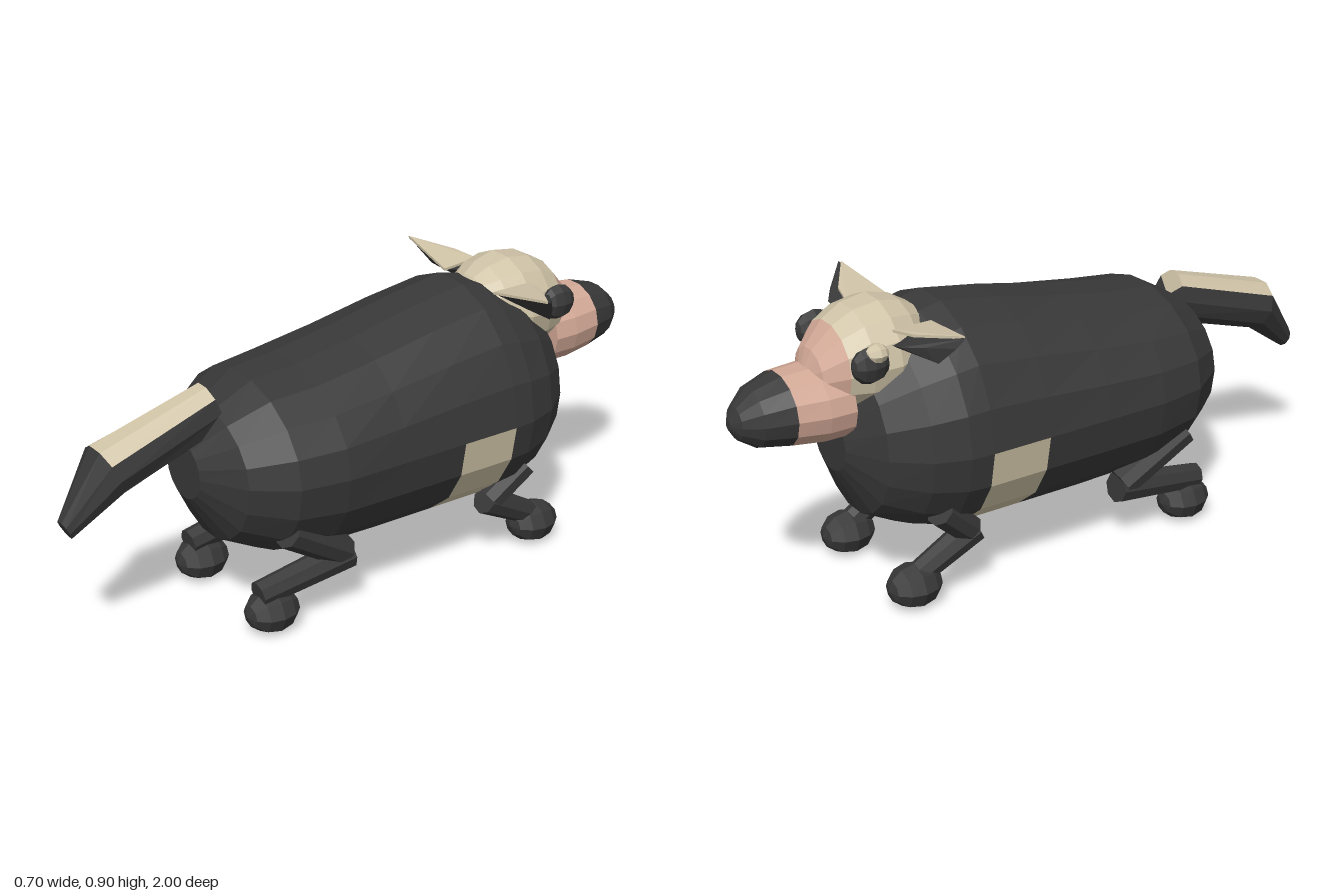
import * as THREE from 'three';
import { ConvexGeometry } from 'three/addons/geometries/ConvexGeometry.js';

const paint = (name, color) => Object.assign(new THREE.MeshStandardMaterial({ color }), { name });

export function createModel() {
  const model = new THREE.Group();
  model.name = 'animal';
  const dark = paint('charcoal', 0x383838);
  const cream = paint('cream', 0xcfc3a7);
  const pink = paint('skin pink', 0xd2a896);

  const add = (name, geometry, material, parent = model) => {
    const flat = geometry.index ? geometry.toNonIndexed() : geometry;
    flat.computeVertexNormals();
    const mesh = new THREE.Mesh(flat, material);
    mesh.name = name;
    parent.add(mesh);
    return mesh;
  };

  // Skins rings ordered from -z to +z; ring: y, z, half width, up, down, lean in z
  function loft(name, rings, sides, materialAt) {
    const group = new THREE.Group();
    group.name = name;
    model.add(group);
    const buckets = new Map();
    const point = (i, j) => {
      const [y, z, w, up, down = up, lean = 0] = rings[i];
      const a = (j / sides) * Math.PI * 2, s = Math.sin(a);
      return [w * Math.cos(a), y + s * (s > 0 ? up : down), z + s * lean];
    };
    const put = (material, ...points) => {
      if (!buckets.has(material)) buckets.set(material, []);
      points.forEach(p => buckets.get(material).push(...p));
    };
    const last = rings.length - 1;
    for (let j = 0; j < sides; j++) {
      for (let i = 0; i < last; i++) {
        const a = point(i, j), b = point(i, j + 1), c = point(i + 1, j), d = point(i + 1, j + 1);
        put(materialAt(i, j), a, b, c, b, d, c);
      }
      put(materialAt(0, j), [0, rings[0][0], rings[0][1]], point(0, j + 1), point(0, j));
      put(materialAt(last - 1, j), [0, rings[last][0], rings[last][1]], point(last, j), point(last, j + 1));
    }
    for (const [material, positions] of buckets) {
      const g = new THREE.BufferGeometry();
      g.setAttribute('position', new THREE.Float32BufferAttribute(positions, 3));
      add(`${name} ${material.name}`, g, material, group);
    }
  }

  // Barrel body with a pale belly band
  loft('body', [
    [0.49, -0.69, 0.09, 0.09, 0.09],
    [0.49, -0.62, 0.215, 0.24, 0.24],
    [0.49, -0.52, 0.295, 0.32, 0.29],
    [0.49, -0.42, 0.33, 0.36, 0.32],
    [0.49, -0.35, 0.335, 0.376, 0.325],
    [0.49, -0.16, 0.335, 0.345, 0.325],
    [0.49, 0.05, 0.335, 0.30, 0.325],
    [0.49, 0.25, 0.335, 0.265, 0.32],
    [0.49, 0.40, 0.31, 0.25, 0.295],
    [0.49, 0.52, 0.225, 0.18, 0.235],
    [0.49, 0.60, 0.09, 0.085, 0.09],
  ], 18, (i, j) => (i === 4 && j >= 9 ? cream : dark));

  // Head with pink face
  loft('head', [
    [0.70, -0.77, 0.03, 0.03],
    [0.71, -0.745, 0.085, 0.08],
    [0.73, -0.685, 0.135, 0.125],
    [0.74, -0.62, 0.16, 0.15],
    [0.745, -0.54, 0.17, 0.157],
    [0.755, -0.47, 0.145, 0.13],
    [0.77, -0.42, 0.10, 0.085],
    [0.78, -0.395, 0.05, 0.045],
  ], 14, i => (i < 2 ? pink : cream));

  // Muzzle and dark nose
  loft('muzzle', [
    [0.62, -1.0, 0.015, 0.015],
    [0.622, -0.98, 0.05, 0.05],
    [0.627, -0.93, 0.092, 0.088],
    [0.632, -0.845, 0.122, 0.108],
    [0.628, -0.75, 0.136, 0.116],
    [0.628, -0.67, 0.136, 0.116],
  ], 14, i => (i < 3 ? dark : pink));

  // Bent tail with a pale top stripe
  loft('tail', [
    [0.663, 0.505, 0.068, 0.075, 0.075, 0.025],
    [0.56, 0.85, 0.095, 0.074, 0.074, 0.03],
    [0.412, 0.985, 0.032, 0.029, 0.029, 0.015],
  ], 20 / 2, (i, j) => (i === 0 && j >= 1 && j <= 3 ? cream : dark));

  // Tapered limb segment between two points
  const limb = (name, a, b, r1, r2) => {
    const from = new THREE.Vector3(...a), to = new THREE.Vector3(...b);
    const axis = to.clone().sub(from);
    const mesh = add(name, new THREE.CylinderGeometry(r2, r1, axis.length(), 8), dark);
    mesh.position.copy(from).add(to).multiplyScalar(0.5);
    mesh.quaternion.setFromUnitVectors(new THREE.Vector3(0, 1, 0), axis.normalize());
  };
  const ball = (name, x, y, z, sx, sy, sz, material) => {
    const mesh = add(name, new THREE.SphereGeometry(1, 8, 6).rotateX(Math.PI / 2), material);
    mesh.position.set(x, y, z);
    mesh.scale.set(sx, sy, sz);
  };

  for (const s of [1, -1]) {
    const side = s > 0 ? 'left' : 'right';
    // Front and hind legs
    limb(`${side}FrontThigh`, [s * 0.23, 0.30, -0.47], [s * 0.205, 0.20, -0.36], 0.045, 0.045);
    limb(`${side}FrontShank`, [s * 0.205, 0.20, -0.34], [s * 0.195, 0.09, -0.54], 0.045, 0.037);
    limb(`${side}HindThigh`, [s * 0.23, 0.325, 0.40], [s * 0.205, 0.19, 0.19], 0.048, 0.048);
    limb(`${side}HindShank`, [s * 0.205, 0.18, 0.17], [s * 0.195, 0.13, 0.48], 0.048, 0.04);
    for (const z of [-0.54, 0.435])
      ball(`${side}${z < 0 ? 'Front' : 'Hind'}Foot`, s * 0.195, 0.067, z, 0.074, 0.067, 0.085, dark);

    // Eyes
    ball(`${side}Eye`, s * 0.16, 0.77, -0.64, 0.038, 0.056, 0.058, dark);

    // Leaf shaped ears with pale inside
    const hull = pts => new ConvexGeometry(pts.map(([x, y, z]) => new THREE.Vector3(s * x, y, z)));
    add(`${side}Ear`, hull([
      [0.12, 0.835, -0.42], [0.35, 0.87, -0.45], [0.335, 0.84, -0.47], [0.26, 0.83, -0.53],
      [0.2, 0.82, -0.57], [0.13, 0.80, -0.56], [0.29, 0.787, -0.5], [0.18, 0.785, -0.5],
    ]), dark);
    const inner = [[0.12, 0.838, -0.42], [0.34, 0.873, -0.447], [0.21, 0.852, -0.53], [0.13, 0.843, -0.55]];
    add(`${side}EarInside`, hull([...inner, ...inner.map(([x, y, z]) => [x, y - 0.008, z])]), cream);
  }

  // Pale lid over the right eye
  ball('rightEyelid', -0.17, 0.805, -0.625, 0.035, 0.028, 0.035, cream);
  return model;
}
